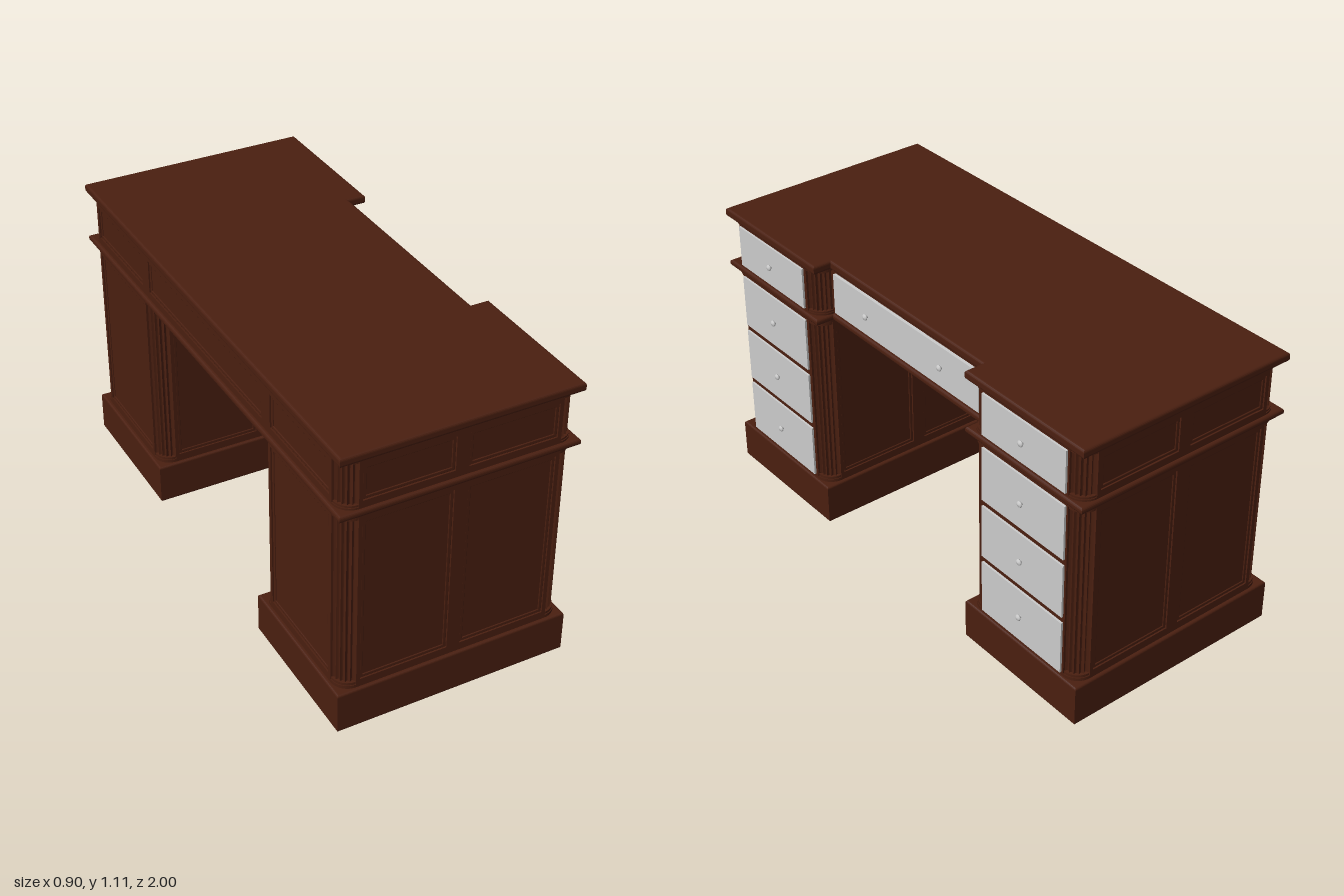
import * as THREE from 'three';

const wood = new THREE.MeshStandardMaterial({ color: 0x4a1f10 });
const grey = new THREE.MeshStandardMaterial({ color: 0xcccccc });

function add(parent, name, geo, mat = wood) {
  const m = new THREE.Mesh(geo, mat);
  m.name = name;
  parent.add(m);
  return m;
}

// Horizontal slab from a plan outline [x, z], with an optional rounded edge
function slab(pts, y0, y1, b = 0) {
  const shape = new THREE.Shape(pts.map(([x, z]) => new THREE.Vector2(x, -z)));
  const g = new THREE.ExtrudeGeometry(shape, {
    depth: y1 - y0 - 2 * b, bevelEnabled: b > 0, bevelSize: b, bevelThickness: b, bevelOffset: -b, bevelSegments: 4,
  });
  return g.rotateX(-Math.PI / 2).translate(0, y0 + b, 0);
}

const rect = (x0, x1, z0, z1) => [[x0, -z0], [x1, -z0], [x1, -z1], [x0, -z1]].map(([x, z]) => [x, z]);

// Rectangle with round corners, scalloped when depth > 0
function columnOutline(cx, hx, hz, r, flutes, depth) {
  const pts = [], steps = flutes * 6;
  [[1, 1], [-1, 1], [-1, -1], [1, -1]].forEach(([sx, sz], k) => {
    for (let i = 0; i <= steps; i++) {
      const t = i / steps, a = (k + t) * Math.PI / 2;
      const rr = r - depth * Math.abs(Math.sin(Math.PI * flutes * t));
      pts.push([cx + sx * (hx - r) + rr * Math.cos(a), sz * (hz - r) + rr * Math.sin(a)]);
    }
  });
  return pts;
}

// Desk-wide outline with the knee recess on the drawer side
function deskOutline(e) {
  return [[-0.45 + e, 1 - e], [0.435 - e, 1 - e], [0.435 - e, 0.425 + e], [0.365 - e, 0.425 + e],
    [0.365 - e, -0.425 - e], [0.435 - e, -0.425 - e], [0.435 - e, -1 + e], [-0.45 + e, -1 + e]];
}

function rectPath(T, x0, y0, x1, y1) {
  const s = new T();
  s.moveTo(x0, y0);
  s.lineTo(x1, y0);
  s.lineTo(x1, y1);
  s.lineTo(x0, y1);
  s.closePath();
  return s;
}

// Facing board (outward = local +z) with sunk panels and a moulding inside each
const T = 0.008;
function facing(name, w, y0, y1, panels = []) {
  const g = new THREE.Group();
  g.name = name;
  const board = rectPath(THREE.Shape, -w / 2, y0, w / 2, y1);
  for (const [a, b, c, d] of panels) {
    board.holes.push(rectPath(THREE.Path, a, c, b, d));
    const ring = rectPath(THREE.Shape, a + 0.003, c + 0.003, b - 0.003, d - 0.003);
    ring.holes.push(rectPath(THREE.Path, a + 0.011, c + 0.011, b - 0.011, d - 0.011));
    add(g, 'panelMoulding', new THREE.ExtrudeGeometry(ring, {
      depth: 0.002, bevelSize: 0.002, bevelThickness: 0.002, bevelSegments: 2 }));
  }
  add(g, 'board', new THREE.ExtrudeGeometry(board, { depth: T, bevelEnabled: false }));
  return g;
}

function place(parent, obj, x, z, angle) {
  obj.position.set(x, 0, z);
  obj.rotation.y = angle;
  parent.add(obj);
}

// Drawer front facing +x, with its round knobs
function drawer(parent, x, z, w, y0, y1, knobs) {
  const g = new THREE.Group(), h = y1 - y0;
  g.name = 'drawer';
  add(g, 'drawerFront', new THREE.BoxGeometry(w, h, 0.012), grey);
  const field = rectPath(THREE.Shape, -w / 2 + 0.012, -h / 2 + 0.012, w / 2 - 0.012, h / 2 - 0.012);
  add(g, 'raisedField', new THREE.ExtrudeGeometry(field, {
    depth: 0.001, bevelSize: 0.009, bevelThickness: 0.005, bevelSegments: 3 }), grey);
  const profile = [[0.006, 0], [0.005, 0.005], [0.011, 0.008], [0.012, 0.011], [0.009, 0.015], [0, 0.017]]
    .map(([r, y]) => new THREE.Vector2(r, y));
  for (const k of knobs) {
    const m = add(g, 'knob', new THREE.LatheGeometry(profile, 20).rotateX(Math.PI / 2), grey);
    m.position.set(k, 0, 0.005);
  }
  g.position.set(x, (y0 + y1) / 2, z);
  g.rotation.y = Math.PI / 2;
  parent.add(g);
}

const CX = -0.006, HX = 0.431, HZ = 0.278, R = 0.062;
const FLAT_X = 2 * (HX - R), FLAT_Z = 2 * (HZ - R);

// Fluted carcass with plain collars at its foot and head
function carcass(parent, y0, y1, c) {
  add(parent, 'flutedBody', slab(columnOutline(CX, HX - T, HZ - T, R - T, 5, 0.008), y0, y1));
  const collar = columnOutline(CX, HX, HZ, R, 2, 0);
  const inner = columnOutline(CX, HX - 0.003, HZ - 0.003, R - 0.003, 2, 0);
  add(parent, 'footCollar', slab(collar, y0, y0 + c));
  add(parent, 'footBead', slab(inner, y0 + c, y0 + 1.7 * c));
  add(parent, 'headBead', slab(inner, y1 - 1.7 * c, y1 - c));
  add(parent, 'headCollar', slab(collar, y1 - c, y1));
}

const sidePanels = (c, d) => [[-0.355, -0.025, c, d], [0.025, 0.355, c, d]];

function pedestal(s) {
  const g = new THREE.Group();
  g.name = s > 0 ? 'frontPedestal' : 'backPedestal';
  add(g, 'plinth', slab(rect(-0.45, 0.435, -0.29, 0.29), 0, 0.16, 0.008));
  carcass(g, 0.158, 0.872, 0.014);
  carcass(g, 0.89, 1.08, 0.01);

  // Lower facings on all four sides
  for (const d of [1, -1]) {
    place(g, facing('sideFacing', FLAT_X, 0.16, 0.87, sidePanels(0.19, 0.845)),
      CX, d * (HZ - T), d > 0 ? 0 : Math.PI);
  }
  place(g, facing('rearFacing', FLAT_Z, 0.16, 0.87, [[-0.2, 0.2, 0.19, 0.845]]), CX - HX + T, 0, -Math.PI / 2);
  place(g, facing('drawerFacing', FLAT_Z, 0.16, 0.87), CX + HX - T, 0, Math.PI / 2);

  // Upper facings: outer end and drawer side
  place(g, facing('upperSideFacing', FLAT_X, 0.89, 1.08, sidePanels(0.92, 1.05)),
    CX, s * (HZ - T), s > 0 ? 0 : Math.PI);
  place(g, facing('upperDrawerFacing', FLAT_Z, 0.89, 1.08), CX + HX - T, 0, Math.PI / 2);

  for (const [y0, y1] of [[0.175, 0.385], [0.41, 0.62], [0.645, 0.855], [0.905, 1.065]]) {
    drawer(g, 0.427, 0.003 * s, 0.41, y0, y1, [0]);
  }
  g.position.z = 0.71 * s;
  return g;
}

export function createModel() {
  const desk = new THREE.Group();
  desk.name = 'desk';
  desk.add(pedestal(1), pedestal(-1));

  // Middle section joining the pedestals
  add(desk, 'middleCarcass', slab(rect(CX - HX + T, 0.354, -0.46, 0.46), 0.88, 1.08));
  drawer(desk, 0.36, 0, 0.82, 0.908, 1.065, [-0.21, 0.21]);
  place(desk, facing('upperRearFacing', 2 * (0.71 + HZ - R), 0.89, 1.08,
    [[-0.91, -0.51, 0.92, 1.05], [-0.45, 0.45, 0.92, 1.05], [0.51, 0.91, 0.92, 1.05]]),
  CX - HX + T, 0, -Math.PI / 2);

  // Waist moulding and desk top
  add(desk, 'waistMoulding', slab(deskOutline(0), 0.868, 0.893, 0.01));
  add(desk, 'deskTop', slab(deskOutline(0), 1.076, 1.11, 0.01));
  return desk;
}
